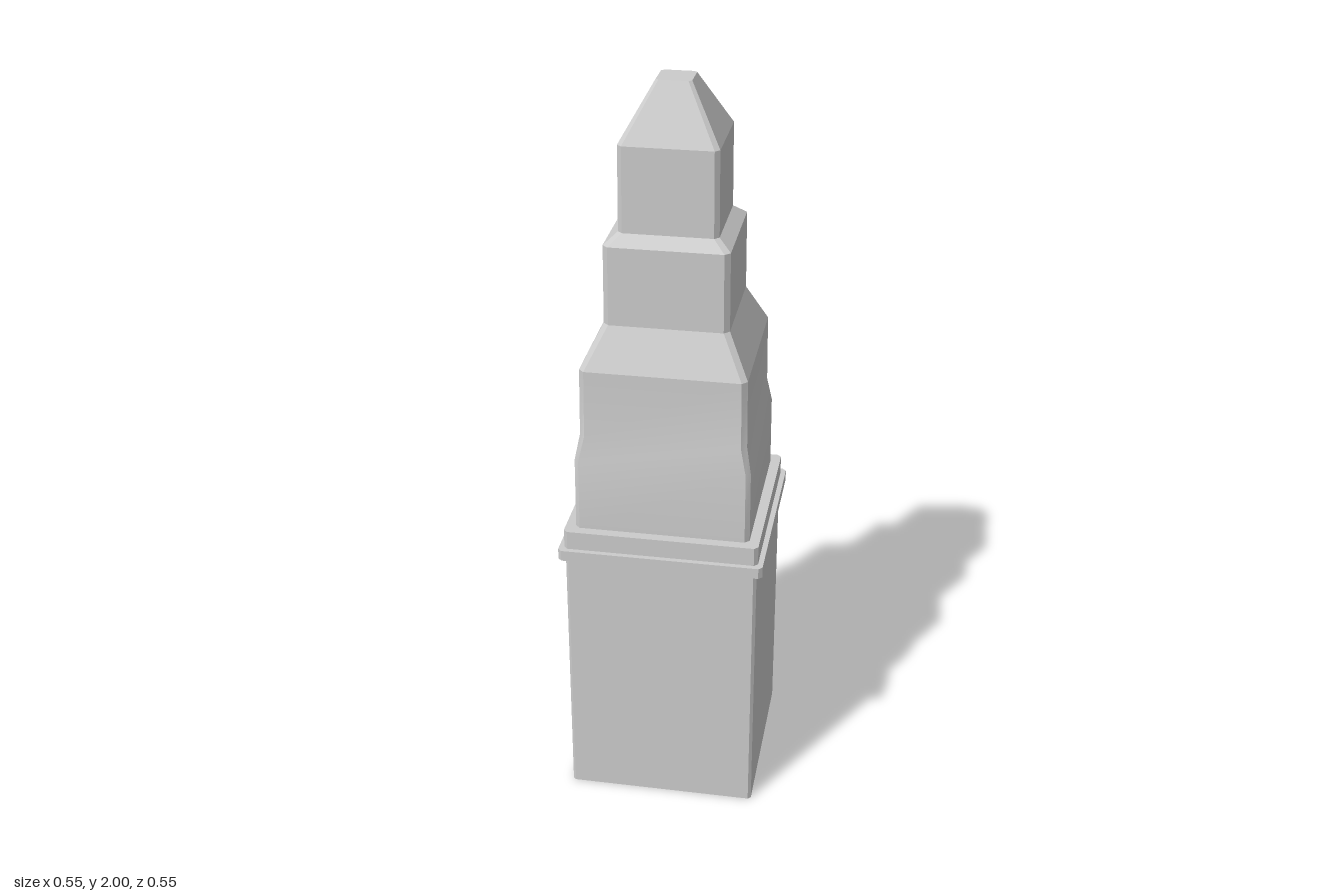
import * as THREE from 'three';
import { toCreasedNormals } from 'three/addons/utils/BufferGeometryUtils.js';

// Square cross-section of half width h with corners cut by c, counter-clockwise from above
function ring([y, h, c]) {
  const k = h - c;
  return [[h, k], [h, -k], [k, -h], [-k, -h], [-h, -k], [-h, k], [-k, h], [k, h]]
    .map(([x, z]) => [x, y, z]);
}

// Closed loft through [height, half width, corner cut] sections, bottom to top
function loft(name, sections, material) {
  const rings = sections.map(ring);
  const pos = [];
  const tri = (...corners) => corners.forEach((p) => pos.push(...p));
  for (let s = 0; s < rings.length - 1; s++) {
    const lo = rings[s], hi = rings[s + 1];
    for (let i = 0; i < 8; i++) {
      const j = (i + 1) % 8;
      tri(lo[i], lo[j], hi[j]);
      tri(lo[i], hi[j], hi[i]);
    }
  }
  const bottom = rings[0], top = rings[rings.length - 1];
  for (let i = 1; i < 7; i++) {
    tri(bottom[0], bottom[i + 1], bottom[i]);
    tri(top[0], top[i], top[i + 1]);
  }
  const geometry = new THREE.BufferGeometry();
  geometry.setAttribute('position', new THREE.Float32BufferAttribute(pos, 3));
  const mesh = new THREE.Mesh(toCreasedNormals(geometry, 0.35), material);
  mesh.name = name;
  return mesh;
}

export function createModel() {
  const group = new THREE.Group();
  group.name = 'steppedTower';
  const grey = new THREE.MeshStandardMaterial({ color: 0xcccccc });

  group.add(
    // Plain square lower block
    loft('base', [[0, 0.257, 0.008], [0.75, 0.257, 0.008]], grey),
    // Projecting band and the step above it
    loft('rim', [[0.75, 0.274, 0.01], [0.78, 0.274, 0.01]], grey),
    loft('collar', [[0.78, 0.26, 0.01], [0.832, 0.26, 0.01]], grey),
    // Tapering stepped shaft with a blunt tip
    loft('shaft', [
      [0.832, 0.233, 0.012],
      [1.03, 0.232, 0.012],
      [1.1, 0.219, 0.014],
      [1.285, 0.217, 0.014],
      [1.395, 0.162, 0.014],
      [1.605, 0.161, 0.014],
      [1.632, 0.128, 0.012],
      [1.855, 0.127, 0.012],
      [2, 0.045, 0.008],
    ], grey),
  );
  return group;
}
